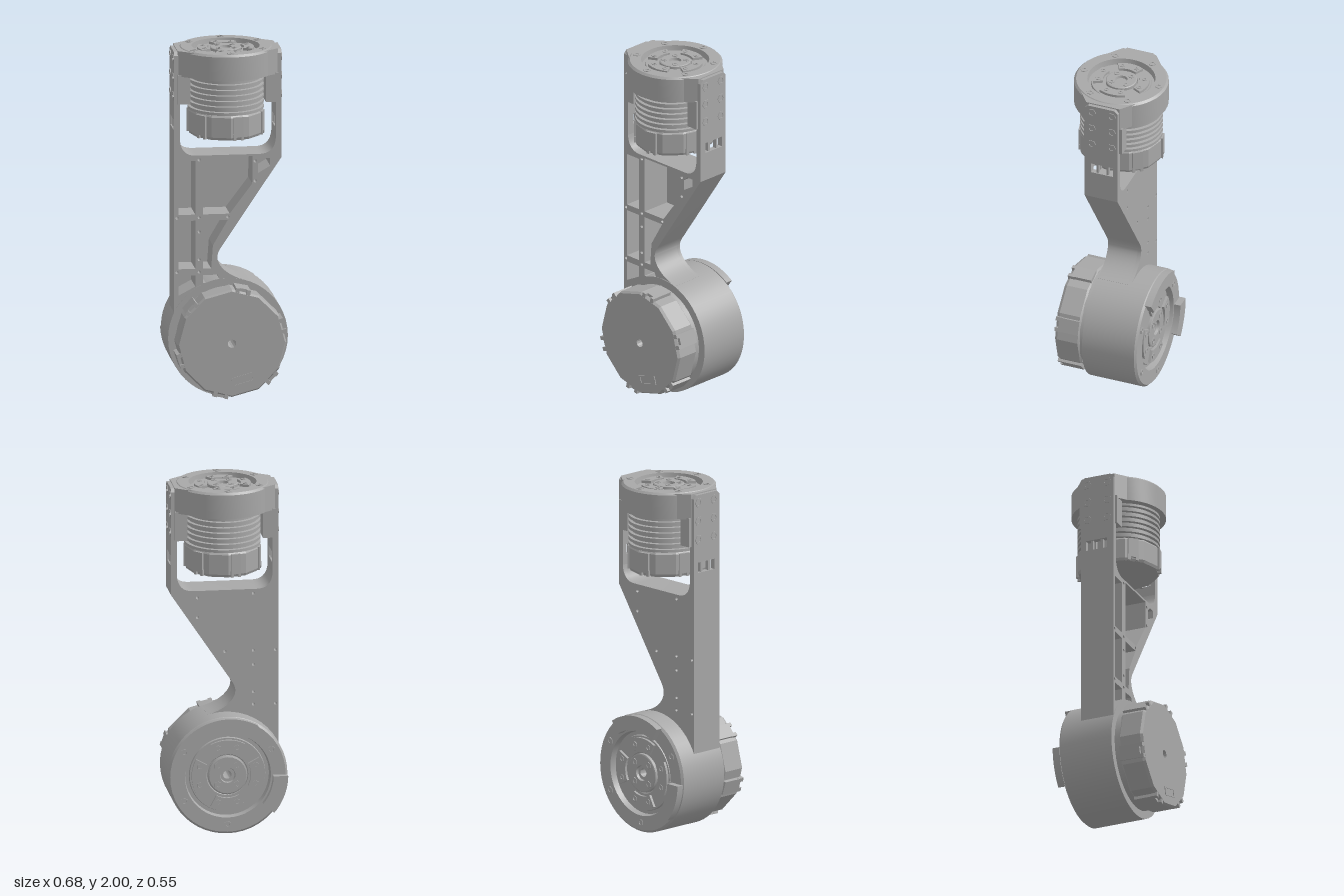
import * as THREE from 'three';
import { toCreasedNormals } from 'three/addons/utils/BufferGeometryUtils.js';

const metal = new THREE.MeshStandardMaterial({ color: 0xa8a8a8 });
metal.name = 'machined grey';

function add(parent, name, geometry, x = 0, y = 0, z = 0) {
  const mesh = new THREE.Mesh(toCreasedNormals(geometry, 0.4), metal);
  mesh.name = name;
  mesh.position.set(x, y, z);
  parent.add(mesh);
  return mesh;
}
const box = (w, h, d) => new THREE.BoxGeometry(w, h, d);
const lathe = (pts, n = 48) => new THREE.LatheGeometry(pts.map(p => new THREE.Vector2(...p)), n);
const extrude = (shape, depth) => new THREE.ExtrudeGeometry(shape, { depth, bevelEnabled: false, curveSegments: 8 });
const path = pts => new THREE.Path(pts.map(p => new THREE.Vector2(...p)));

// Hollow or solid turned body; profile runs bottom to top on the outside
function turned(pts, hole, n) {
  const first = pts[0], last = pts[pts.length - 1];
  const ring = [[hole, first[1]], ...pts, [hole, last[1]]];
  if (hole > 0) ring.push([hole, first[1]]);
  return lathe(ring, n);
}

// Flat ring segment lying in xz, rising from y = 0 to h
function arcPlate(r0, r1, a0, a1, h) {
  const s = new THREE.Shape();
  s.absarc(0, 0, r1, a0, a1, false);
  s.absarc(0, 0, r0, a1, a0, true);
  s.closePath();
  return extrude(s, h).rotateX(Math.PI / 2).translate(0, h, 0);
}

// Hex socket bolt with its axis on y
function bolt(parent, r, x, y, z) {
  const g = new THREE.Group();
  g.name = 'bolt';
  g.position.set(x, y, z);
  add(g, 'boltHead', lathe([[0, -0.01], [r, -0.01], [r, 0.004], [r * 0.55, 0.004], [r * 0.5, -0.006], [0, -0.006]], 6));
  parent.add(g);
  return g;
}

// Output end of an actuator: housing with recessed face, hub, plates and bolts
function outputHousing(parent, R, h, hole) {
  add(parent, 'housing', turned([[R, -h], [R, -0.012], [R - 0.012, 0], [0.72 * R, 0], [0.7 * R, -0.035],
    [0.64 * R, -0.035], [0.63 * R, -0.022], [0.35 * R, -0.022], [0.34 * R, -0.028]], hole));
  add(parent, 'hub', turned([[0.33 * R, -0.03], [0.33 * R, -0.01], [0.31 * R, -0.007], [0.13 * R, -0.007], [0.12 * R, -0.022]], hole, 24));
  for (let i = 0; i < 4; i++) {
    const a = i * Math.PI / 2;
    add(parent, 'outputPlate', arcPlate(0.39 * R, 0.6 * R, a - 0.5, a + 0.5, 0.018), 0, -0.025, 0);
    for (const d of [-0.33, 0.33])
      bolt(parent, 0.055 * R, 0.49 * R * Math.cos(a + d), -0.007, 0.49 * R * Math.sin(a + d));
    const b = a + Math.PI / 4;
    bolt(parent, 0.065 * R, 0.23 * R * Math.cos(b), -0.007, 0.23 * R * Math.sin(b));
  }
  for (let i = 0; i < 6; i++) {
    const a = Math.PI / 2 + i * Math.PI / 3;
    bolt(parent, 0.022, 0.84 * R * Math.cos(a), 0, 0.84 * R * Math.sin(a));
  }
}

// Faceted motor cover with six clips, from y = top down by h
function motorCover(parent, r, top, h, hole) {
  add(parent, 'motorCover', turned([[0.94 * r, top - h], [0.97 * r, top - h + 0.015], [0.97 * r, top - 0.01], [0.94 * r, top]], hole, 12));
  for (let i = 0; i < 6; i++) {
    const a = (78 - 60 * i) * Math.PI / 180;
    const g = new THREE.Group();
    g.name = 'coverClip';
    g.rotation.y = -a;
    add(g, 'clip', box(0.05, h * 0.82, 0.26 * r), r - 0.027, top - h * 0.45, 0);
    for (const s of [-1, 1])
      add(g, 'clipFoot', box(0.04, h * 0.25, 0.07 * r), r - 0.022, top - h * 0.87, s * 0.1 * r);
    parent.add(g);
  }
  const slot = new THREE.Shape([[-0.2, -0.08], [0.2, -0.08], [0.2, 0.08], [-0.2, 0.08]].map(p => new THREE.Vector2(p[0] * r, p[1] * r)));
  slot.holes.push(path([[-0.17, -0.055], [-0.17, 0.055], [0.17, 0.055], [0.17, -0.055]].map(p => [p[0] * r, p[1] * r])));
  const rim = add(parent, 'connectorRim', extrude(slot, 0.004).rotateX(Math.PI / 2), 0.2 * r, top - h, -0.65 * r);
  rim.rotation.y = -0.28;
}

// Arm outline, ending inside the lower drum
function armShape() {
  const s = new THREE.Shape();
  s.moveTo(-0.305, 0.46);
  s.lineTo(0.1, 0.46);
  s.lineTo(0.1, 0.665);
  s.bezierCurveTo(0.0, 0.69, -0.06, 0.75, -0.06, 0.8);
  s.quadraticCurveTo(-0.06, 0.83, -0.03, 0.87);
  s.lineTo(0.305, 1.37);
  s.lineTo(0.305, 1.48);
  s.lineTo(0.272, 1.48);
  s.quadraticCurveTo(0.265, 1.39, 0.18, 1.39);
  s.lineTo(-0.18, 1.39);
  s.quadraticCurveTo(-0.265, 1.39, -0.272, 1.48);
  s.lineTo(-0.305, 1.48);
  s.closePath();
  const screws = [[-0.1625, 1.365], [-0.1625, 1.032], [-0.1625, 0.95], [-0.1625, 0.79], [-0.1625, 0.718],
    [-0.288, 1.032], [-0.288, 0.718], [0, 1.032], [0.155, 1.235], [0.155, 1.35]];
  for (const [x, y] of screws) {
    const hole = new THREE.Path();
    hole.absarc(x, y, 0.009, 0, Math.PI * 2, true);
    s.holes.push(hole);
  }
  return s;
}

function buildArm(parent) {
  const arm = new THREE.Group();
  arm.name = 'arm';
  parent.add(arm);
  // closed back skin and ribbed front with open pockets
  add(arm, 'armBackSkin', extrude(armShape(), 0.022), 0, 0, -0.105);
  const ribs = armShape();
  const pockets = [
    [[-0.28, 1.05], [-0.28, 1.36], [-0.185, 1.36], [-0.185, 1.05]],
    [[-0.28, 0.737], [-0.28, 1.015], [-0.185, 1.015], [-0.185, 0.737]],
    [[-0.28, 0.585], [-0.28, 0.7], [-0.185, 0.7], [-0.185, 0.635]],
    [[-0.14, 1.05], [-0.14, 1.378], [0.14, 1.378], [0.138, 1.22], [0.01, 1.05]],
    [[-0.14, 0.737], [-0.14, 1.015], [0, 1.015], [-0.085, 0.87], [-0.095, 0.737]],
    [[-0.14, 0.655], [-0.14, 0.7], [-0.06, 0.7], [-0.04, 0.655]],
    [[0.172, 1.28], [0.172, 1.34], [0.2, 1.365], [0.24, 1.365], [0.24, 1.32]],
  ];
  for (const p of pockets) ribs.holes.push(path(p));
  add(arm, 'armRibs', extrude(ribs, 0.178), 0, 0, -0.083);

  // fork sides with cable window and bolts
  const side = new THREE.Shape([[-0.105, 1.48], [0.095, 1.48], [0.095, 1.97], [0.075, 1.99], [-0.085, 1.99], [-0.105, 1.97]].map(p => new THREE.Vector2(...p)));
  side.holes.push(path([[-0.075, 1.537], [-0.075, 1.597], [0.055, 1.597], [0.055, 1.537]]));
  for (const s of [-1, 1]) {
    // shape x becomes -z, so turn it and mirror by sign of the sweep
    const geo = extrude(side, 0.033).rotateY(-Math.PI / 2).translate(s > 0 ? 0.305 : -0.272, 0, 0);
    add(arm, 'forkSide', geo);
    for (const z of [0.02, -0.04]) add(arm, 'windowBar', box(0.02, 0.062, 0.014), s * 0.288, 1.567, z);
    for (const y of [1.945, 1.837, 1.73])
      for (const z of [0.053, -0.068])
        bolt(arm, 0.028, s * 0.305, y, z).rotation.z = -s * Math.PI / 2;
  }
}

function buildUpperActuator(parent) {
  const g = new THREE.Group();
  g.name = 'upperActuator';
  g.position.set(0, 2, -0.008);
  parent.add(g);
  outputHousing(g, 0.267, 0.15, 0);
  // mounting lugs reaching the fork sides
  for (const s of [-1, 1]) {
    const lug = new THREE.Shape([[0.2, -0.165], [0.285, -0.1], [0.285, 0.1], [0.2, 0.165]].map(p => new THREE.Vector2(s * p[0], p[1])));
    add(g, 'lugTop', extrude(lug, 0.146).rotateX(Math.PI / 2), 0, -0.004, 0);
    add(g, 'lugFoot', box(0.07, 0.17, 0.23), s * 0.25, -0.225, 0);
  }
  // cooling fins, narrowed to fit the fork
  const fins = [];
  for (let i = 0; i < 7; i++) {
    const y = -0.37 + i * 0.032;
    fins.push([0.218, y], [0.218, y + 0.012], [0.236, y + 0.014], [0.236, y + 0.03]);
  }
  add(g, 'coolingFins', turned(fins, 0)).scale.x = 0.91;
  const cover = new THREE.Group();
  cover.name = 'upperMotor';
  cover.scale.x = 0.89;
  g.add(cover);
  motorCover(cover, 0.245, -0.36, 0.14, 0);
}

function buildLowerActuator(parent) {
  const g = new THREE.Group();
  g.name = 'lowerActuator';
  g.position.set(0, 0.34, -0.228);
  g.rotation.x = -Math.PI / 2;
  parent.add(g);
  const hole = 0.024;
  outputHousing(g, 0.34, 0.326, hole);
  add(g, 'motorNeck', turned([[0.295, -0.37], [0.295, -0.31]], hole));
  motorCover(g, 0.32, -0.355, 0.148, hole);
  // raised stop pads on the output ring
  for (const [a0, a1] of [[55, 120], [181, 220]])
    add(g, 'stopPad', arcPlate(0.255, 0.338, a0 * Math.PI / 180, a1 * Math.PI / 180, 0.042), 0, -0.005, 0);
}

export function createModel() {
  const model = new THREE.Group();
  model.name = 'roboticLegLink';
  buildArm(model);
  buildUpperActuator(model);
  buildLowerActuator(model);
  return model;
}
